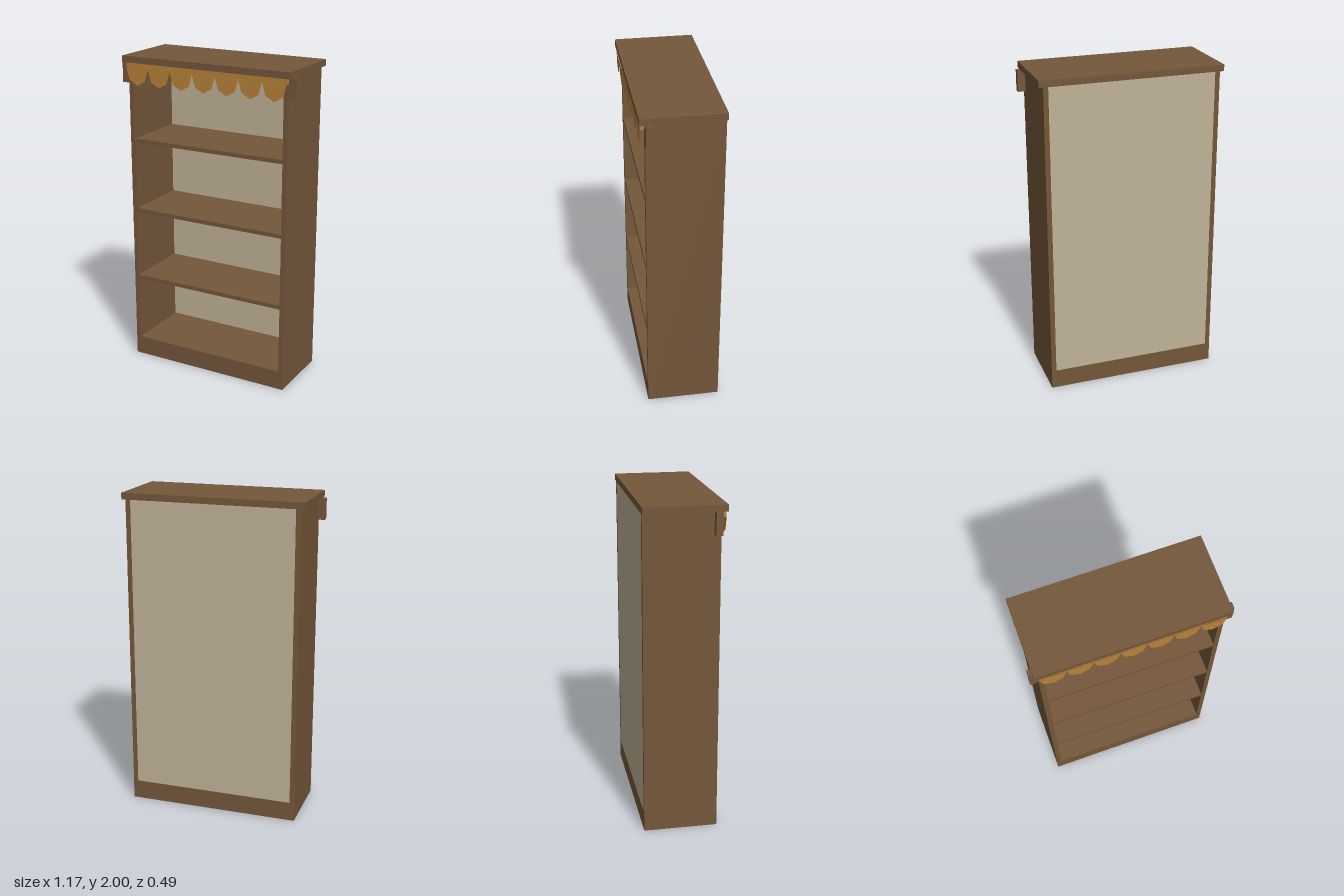
import * as THREE from 'three';

export function createModel() {
  const group = new THREE.Group();
  const material = (name, color, side = THREE.FrontSide) => {
    const m = new THREE.MeshStandardMaterial({ color, side });
    m.name = name;
    return m;
  };
  const wood = material('brown wood', 0x74573a);
  const board = material('beige board', 0xbfb297);
  const cloth = material('ochre cloth', 0xb78238, THREE.DoubleSide);

  // Box given by its limits on each axis
  const box = (name, mat, [x0, x1], [y0, y1], [z0, z1]) => {
    const mesh = new THREE.Mesh(new THREE.BoxGeometry(x1 - x0, y1 - y0, z1 - z0), mat);
    mesh.position.set((x0 + x1) / 2, (y0 + y1) / 2, (z0 + z1) / 2);
    mesh.name = name;
    group.add(mesh);
  };

  const outer = 0.54, inner = 0.51, front = 0.21, back = -0.24, ceiling = 1.96;

  // Carcass
  box('top', wood, [-0.565, 0.565], [ceiling, 2], [-0.243, 0.243]);
  box('base', wood, [-inner, inner], [0, 0.12], [back, front]);
  box('backPanel', board, [-inner, inner], [0.12, ceiling], [back, back + 0.015]);
  for (const s of [-1, 1]) {
    const side = s < 0 ? 'right' : 'left';
    const span = (a, b) => [s * a, s * b].sort((p, q) => p - q);
    box(side + 'Side', wood, span(inner, outer), [0, ceiling], [back, front]);
    box(side + 'Bracket', wood, span(outer, 0.586), [1.83, ceiling], [0.17, front]);
  }

  // Shelves
  for (let i = 0; i < 3; i++) {
    const y = 0.54 + i * 0.458;
    box('shelf' + (i + 1), wood, [-inner, inner], [y, y + 0.025], [back + 0.015, front]);
  }

  // Valance: a rail with a row of four-sided scallops hanging in front
  const railBottom = 1.926, count = 7, width = 2 * outer / count;
  box('valanceRail', cloth, [-outer, outer], [railBottom, ceiling], [front, 0.235]);
  const scallop = new THREE.Shape();
  for (let i = 0; i <= 4; i++) {
    const a = Math.PI + i * Math.PI / 4;
    const x = Math.cos(a) * width / 2, y = Math.sin(a) * 0.105;
    if (i === 0) scallop.moveTo(x, y);
    else scallop.lineTo(x, y);
  }
  const scallopGeometry = new THREE.ShapeGeometry(scallop);
  for (let i = 0; i < count; i++) {
    const mesh = new THREE.Mesh(scallopGeometry, cloth);
    mesh.position.set((i - (count - 1) / 2) * width, railBottom, 0.237);
    mesh.name = 'scallop' + (i + 1);
    group.add(mesh);
  }
  return group;
}
